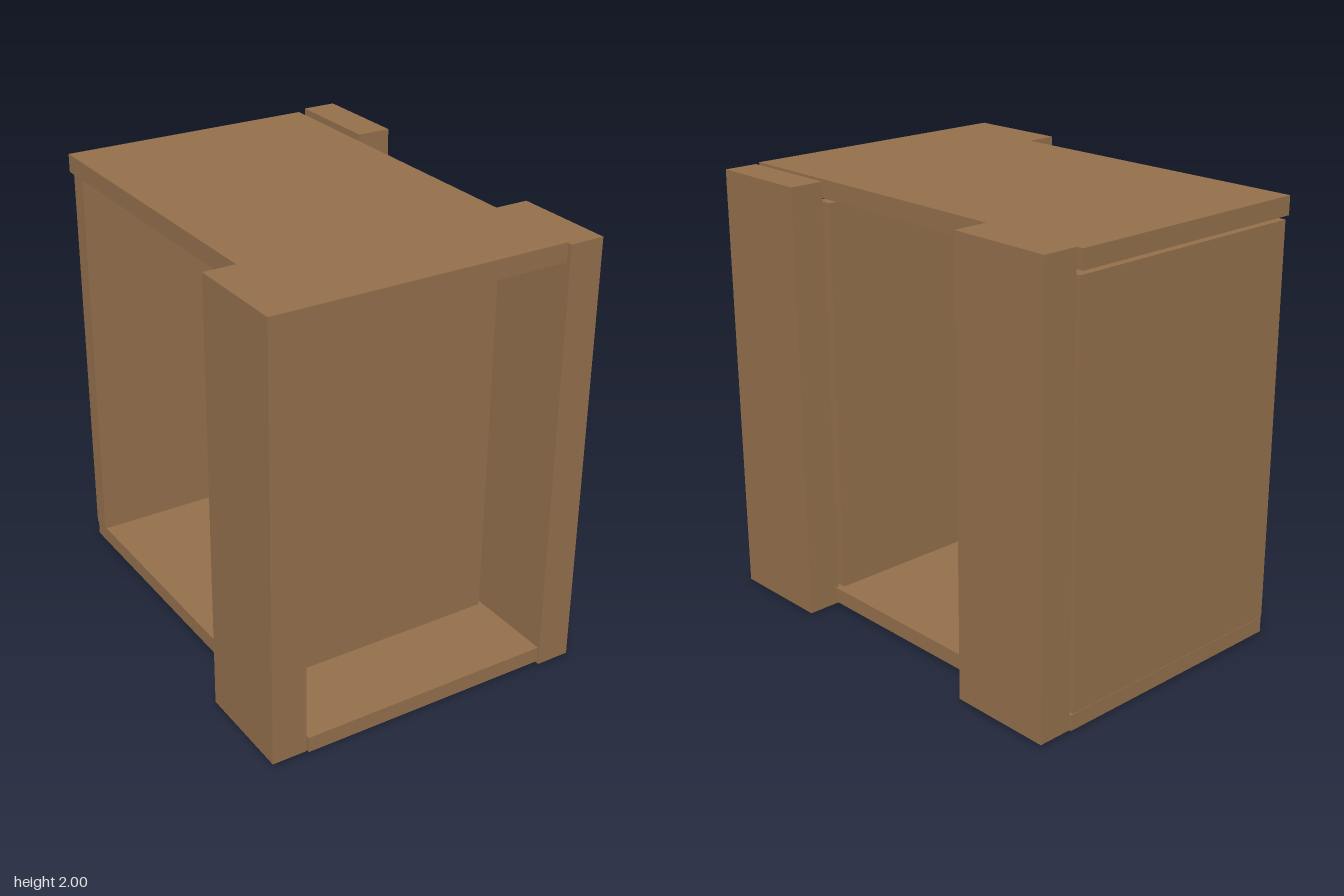
import * as THREE from 'three';

export function createModel() {
  const model = new THREE.Group();
  const wood = new THREE.MeshStandardMaterial({ color: 0x94704c });

  // Board spanning the given [min, max] ranges
  function board(name, [x0, x1], [y0, y1], [z0, z1]) {
    const mesh = new THREE.Mesh(new THREE.BoxGeometry(x1 - x0, y1 - y0, z1 - z0), wood);
    mesh.position.set((x0 + x1) / 2, (y0 + y1) / 2, (z0 + z1) / 2);
    mesh.name = name;
    model.add(mesh);
  }

  // Horizontal boards
  board('topBoard', [-0.625, 0.573], [1.905, 1.988], [-1, 0.99]);
  board('bottomBoard', [-0.6, 0.598], [0.01, 0.082], [-1, 0.99]);

  // Upright panels, slightly short of the top board
  board('backPanel', [-0.606, 0.584], [0.082, 1.89], [-0.998, -0.91]);
  board('frontPanel', [-0.635, 0.565], [0.082, 1.887], [0.502, 0.583]);

  // Wide posts at three corners
  board('frontRightPost', [-0.77, -0.61], [0.02, 1.988], [0.512, 0.99]);
  board('frontLeftPost', [0.583, 0.742], [0, 1.98], [0.522, 1]);
  board('backLeftPost', [0.606, 0.765], [0.018, 2], [-1, -0.523]);

  return model;
}
